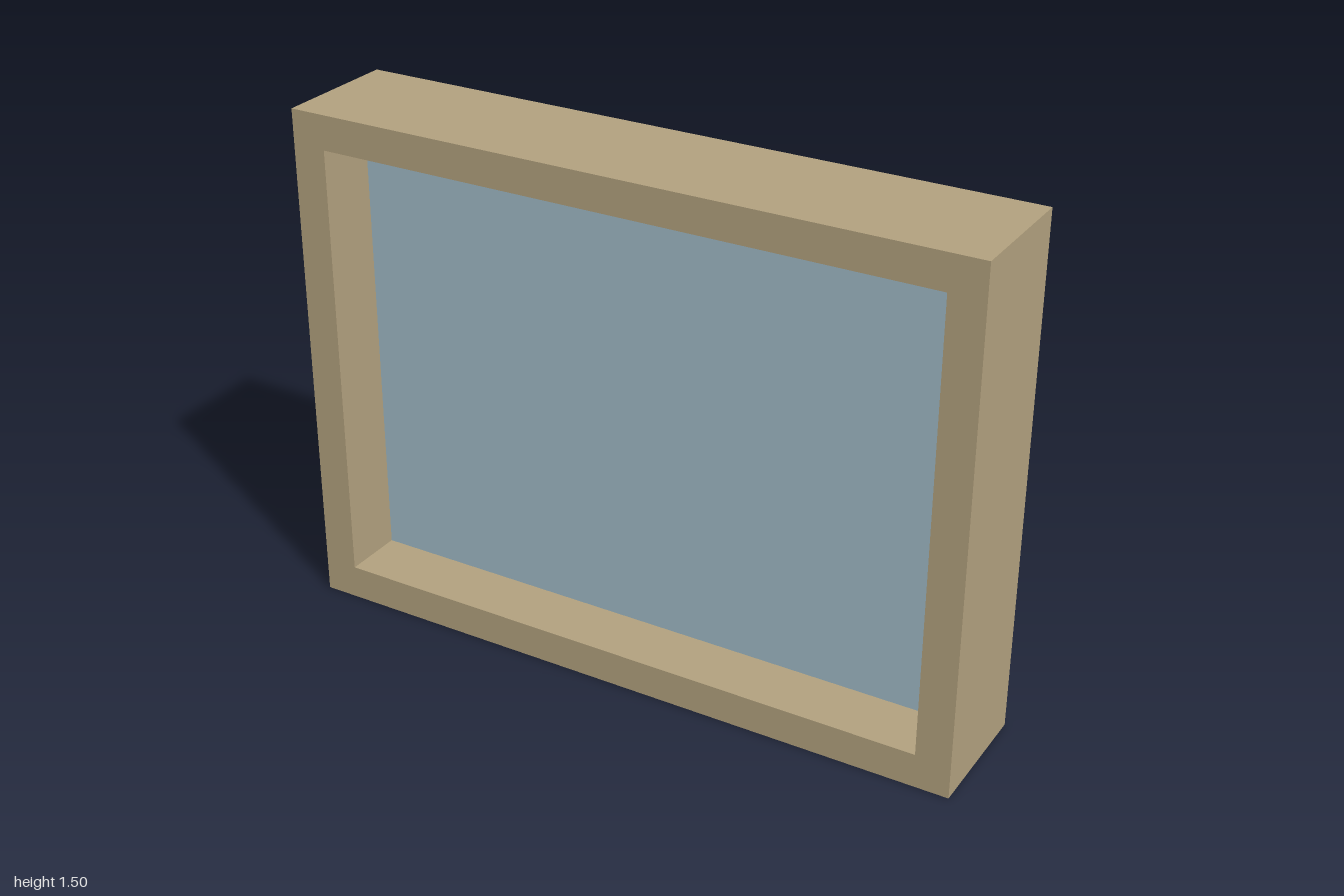
import * as THREE from 'three';

const W = 2, H = 1.5, D = 0.375, BORDER = 0.1;

export function createModel() {
  const wood = new THREE.MeshStandardMaterial({ color: 0xb3a27f });
  wood.name = 'tan wood';
  const glass = new THREE.MeshStandardMaterial({ color: 0xa1bcc8 });
  glass.name = 'pale blue glass';

  const model = new THREE.Group();
  model.name = 'window';

  // Rectangle centred on x, standing inset from the outer edge
  const rectangle = (PathType, inset) => {
    const x = W / 2 - inset;
    return new PathType([[-x, inset], [x, inset], [x, H - inset], [-x, H - inset]]
      .map(([px, py]) => new THREE.Vector2(px, py)));
  };

  // Deep frame with a rectangular opening
  const outline = rectangle(THREE.Shape, 0);
  outline.holes.push(rectangle(THREE.Path, BORDER));
  const frameGeometry = new THREE.ExtrudeGeometry(outline, { depth: D, bevelEnabled: false });
  frameGeometry.translate(0, 0, -D / 2);
  const frame = new THREE.Mesh(frameGeometry, wood);
  frame.name = 'frame';
  model.add(frame);

  // Thin pane halfway through the frame
  const pane = new THREE.Mesh(
    new THREE.BoxGeometry(W - 2 * BORDER, H - 2 * BORDER, 0.0125), glass);
  pane.name = 'pane';
  pane.position.y = H / 2;
  model.add(pane);

  return model;
}
